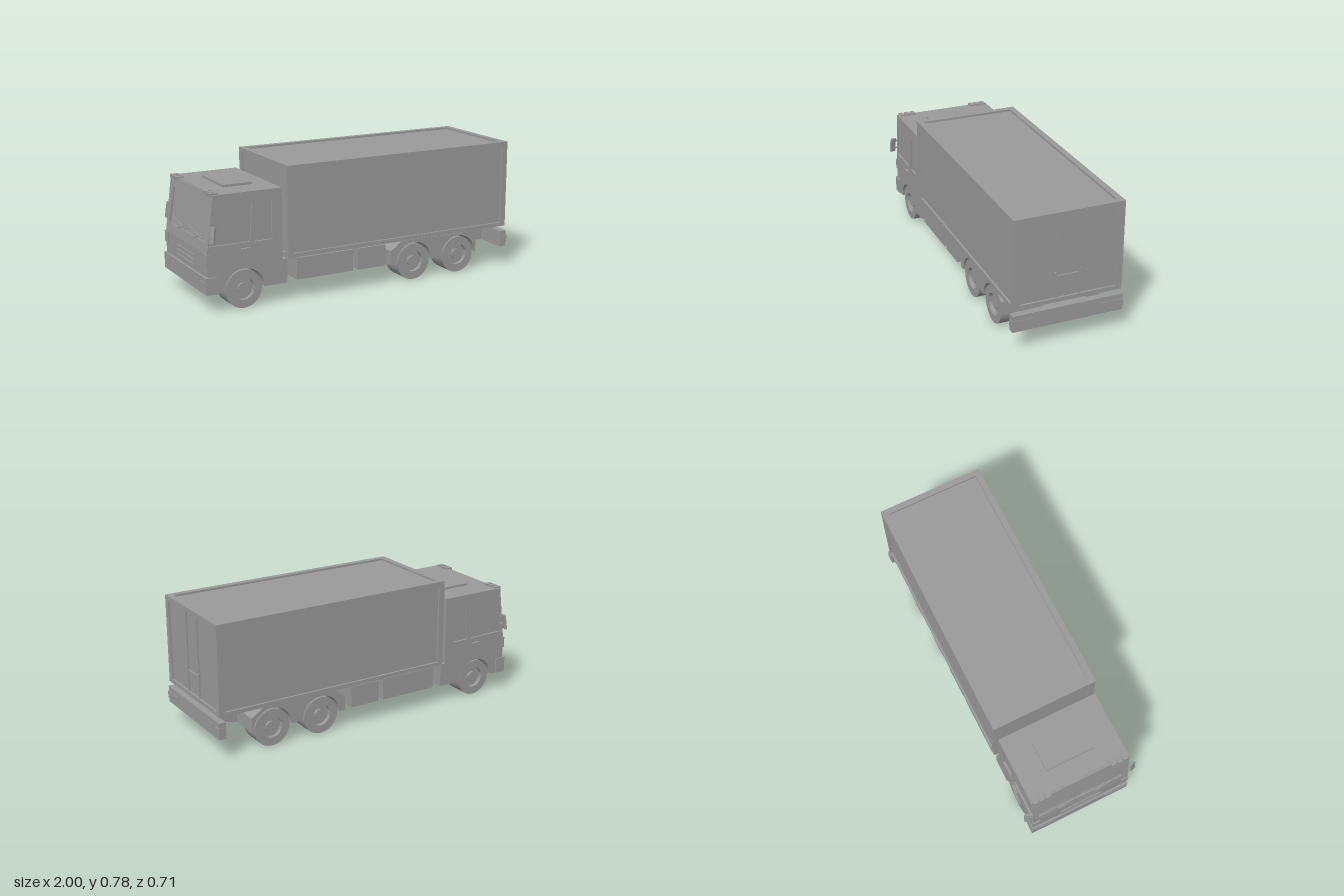
import * as THREE from 'three';
import { toCreasedNormals } from 'three/addons/utils/BufferGeometryUtils.js';

const material = new THREE.MeshStandardMaterial({ color: 0x999999 });
const AXLE_Y = 0.11;
const FRONT_AXLE = -0.768;
const REAR_AXLES = [0.338, 0.655];
const SIDES = [-1, 1];

export function createModel() {
  const truck = new THREE.Group();
  truck.name = 'boxTruck';

  function add(geometry, name, parent = truck) {
    const mesh = new THREE.Mesh(geometry, material);
    mesh.name = name;
    parent.add(mesh);
    return mesh;
  }

  // box given by its limits on each axis
  function box(name, [x0, x1], [y0, y1], [z0, z1], parent) {
    const mesh = add(new THREE.BoxGeometry(Math.abs(x1 - x0), Math.abs(y1 - y0), Math.abs(z1 - z0)), name, parent);
    mesh.position.set((x0 + x1) / 2, (y0 + y1) / 2, (z0 + z1) / 2);
    return mesh;
  }

  // the same box on both sides of the truck
  function pair(name, xs, ys, [z0, z1]) {
    return SIDES.map((s) => box(name, xs, ys, [s * z0, s * z1]));
  }

  // side profile extruded between two z positions
  function slab(name, shape, z0, z1) {
    const g = new THREE.ExtrudeGeometry(shape, { depth: Math.abs(z1 - z0), bevelEnabled: false, curveSegments: 28 });
    g.translate(0, 0, Math.min(z0, z1));
    return add(toCreasedNormals(g, 0.5), name);
  }

  // flat underside with wheel arches, closed by the upper outline points
  function archedShape(xStart, xEnd, arches, upper) {
    const shape = new THREE.Shape();
    shape.moveTo(xStart, AXLE_Y);
    for (const c of arches) {
      shape.lineTo(c - 0.121, AXLE_Y);
      shape.absarc(c, AXLE_Y, 0.121, Math.PI, 0, true);
    }
    shape.lineTo(xEnd, AXLE_Y);
    upper.forEach(([x, y]) => shape.lineTo(x, y));
    shape.closePath();
    return shape;
  }

  const points = (pts) => pts.map(([x, y]) => new THREE.Vector2(x, y));
  const hole = (pts) => new THREE.Path(points(pts));

  // cab: solid core plus side skins with window openings
  const cabCore = archedShape(-0.985, -0.535, [FRONT_AXLE],
    [[-0.535, 0.66], [-0.932, 0.66], [-0.974, 0.337], [-0.985, 0.337]]);
  slab('cabCore', cabCore, -0.294, 0.294);

  const cabSide = archedShape(-0.985, -0.535, [FRONT_AXLE],
    [[-0.535, 0.66], [-0.944, 0.66], [-0.985, 0.337]]);
  cabSide.holes.push(
    hole([[-0.972, 0.378], [-0.73, 0.378], [-0.714, 0.59], [-0.948, 0.59]]),
    hole([[-0.703, 0.375], [-0.596, 0.375], [-0.596, 0.595], [-0.682, 0.595]]));
  for (const s of SIDES) slab('cabSide', cabSide, s * 0.294, s * 0.306);

  // sloping front with windscreen opening and wipers
  const front = new THREE.Group();
  front.name = 'windscreenFront';
  front.position.set(-0.974, 0.337, 0);
  front.rotation.z = -0.13;
  truck.add(front);
  const frame = new THREE.Shape(points([[-0.294, 0], [0.294, 0], [0.294, 0.3235], [-0.294, 0.3235]]));
  frame.holes.push(hole([[-0.27, 0.055], [0.27, 0.055], [0.255, 0.265], [-0.255, 0.265]]));
  const frameMesh = add(new THREE.ExtrudeGeometry(frame, { depth: 0.011, bevelEnabled: false }), 'windscreenFrame', front);
  frameMesh.rotation.y = -Math.PI / 2;
  for (const z of [-0.13, 0.11]) {
    const blade = box('wiperBlade', [-0.014, -0.007], [0.078, 0.085], [z - 0.1, z + 0.1], front);
    blade.rotation.x = 0.15;
    const arm = box('wiperArm', [-0.017, -0.01], [0.06, 0.066], [z - 0.02, z + 0.09], front);
    arm.rotation.x = -0.35;
  }

  // grille, bumper and front lamps
  for (const y of [0.222, 0.25, 0.278]) box('grilleSlat', [-0.992, -0.98], [y, y + 0.018], [-0.13, 0.13]);
  box('frontBumper', [-0.997, -0.932], [AXLE_Y, 0.205], [-0.315, 0.315]);
  pair('headlamp', [-1, -0.99], [0.135, 0.18], [0.225, 0.295]);
  pair('fogLamp', [-1, -0.99], [0.135, 0.18], [0.165, 0.212]);
  pair('indicator', [-0.992, -0.972], [0.27, 0.335], [0.265, 0.311]);

  // mirrors swept back, with a raised glass
  for (const s of SIDES) {
    const mirror = new THREE.Group();
    mirror.name = 'mirror';
    mirror.position.set(-0.962, 0.449, s * 0.337);
    mirror.rotation.set(0, s * 0.3, -0.13);
    truck.add(mirror);
    box('mirrorShell', [-0.008, 0.006], [-0.045, 0.045], [-0.017, 0.017], mirror);
    box('mirrorGlass', [0, 0.008], [-0.04, 0.04], [-0.013, 0.013], mirror);
  }
  for (const y of [0.425, 0.472]) pair('mirrorArm', [-0.968, -0.957], [y, y + 0.008], [0.3, 0.327]);

  // door handles and roof fittings
  pair('doorHandle', [-0.788, -0.735], [0.338, 0.347], [0.3, 0.32]);
  box('roofHatch', [-0.815, -0.64], [0.655, 0.673], [-0.148, 0.148]);
  for (const z of [0.19, 0.228, 0.266]) pair('roofLamp', [-0.955, -0.908], [0.65, 0.668], [z, z + 0.028]);

  // chassis with arches and raised tail
  slab('chassis', archedShape(-0.54, 0.78, REAR_AXLES,
    [[0.85, 0.125], [0.97, 0.125], [0.97, 0.222], [0.745, 0.222], [0.71, 0.246], [-0.54, 0.246]]), -0.125, 0.125);
  box('cabRearSkirt', [-0.536, -0.505], [AXLE_Y, 0.25], [-0.305, 0.305]);
  box('cargoMount', [-0.5, -0.455], [0.24, 0.262], [-0.2, 0.2]);

  // side lockers and rear fenders
  pair('longLocker', [-0.445, -0.083], [0.117, 0.245], [0.12, 0.308]);
  pair('shortLocker', [-0.05, 0.137], [0.117, 0.245], [0.12, 0.308]);
  const fender = archedShape(0.178, 0.785, REAR_AXLES,
    [[0.785, 0.195], [0.71, 0.246], [0.25, 0.246], [0.178, 0.195]]);
  for (const s of SIDES) slab('rearFender', fender, s * 0.125, s * 0.302);

  // rear bumper bar with lamps
  box('rearBumper', [0.955, 0.996], [0.125, 0.223], [-0.325, 0.325]);
  pair('cornerLamp', [0.96, 1], [0.15, 0.193], [0.268, 0.329]);
  pair('tailLamp', [0.98, 1], [0.15, 0.193], [0.195, 0.254]);

  // cargo body: recessed panels inside a frame of beams
  const X = [-0.505, 0.99], Y = [0.253, 0.78], W = 0.32, B = 0.036;
  box('cargoPanels', [X[0] + 0.012, X[1] - 0.012], [Y[0] + 0.002, Y[1] - 0.012], [-W + 0.012, W - 0.012]);
  const xEnds = [[X[0], X[0] + B], [X[1] - B, X[1]]];
  const yEnds = [[Y[0], Y[0] + 0.024], [Y[1] - 0.029, Y[1]]];
  for (const y of yEnds) {
    pair('cargoLongBeam', X, y, [W - B, W]);
    for (const x of xEnds) box('cargoCrossBeam', x, y, [-W + B, W - B]);
  }
  for (const x of xEnds) pair('cargoPost', x, [yEnds[0][1], yEnds[1][0]], [W - B, W]);

  // rear door bars and latches
  const onDoor = [0.975, 0.987];
  pair('doorBar', onDoor, [0.277, 0.752], [0.063, 0.072]);
  pair('doorLatch', [0.975, 0.989], [0.38, 0.43], [0.064, 0.078]);
  box('doorCrossBar', onDoor, [0.398, 0.408], [-0.064, 0.064]);

  // wheels: tyre, recessed rim and hub in one turned profile
  const profile = points([[0, 0], [0.11, 0], [0.11, 0.132], [0.063, 0.132], [0.063, 0.107],
    [0.03, 0.107], [0.03, 0.122], [0, 0.122]]);
  const wheelGeometry = toCreasedNormals(new THREE.LatheGeometry(profile, 40), 0.5);
  for (const x of [FRONT_AXLE, ...REAR_AXLES]) {
    for (const s of SIDES) {
      const wheel = add(wheelGeometry, 'wheel');
      wheel.rotation.x = s * Math.PI / 2;
      wheel.position.set(x, AXLE_Y, s * 0.163);
    }
  }
  return truck;
}
